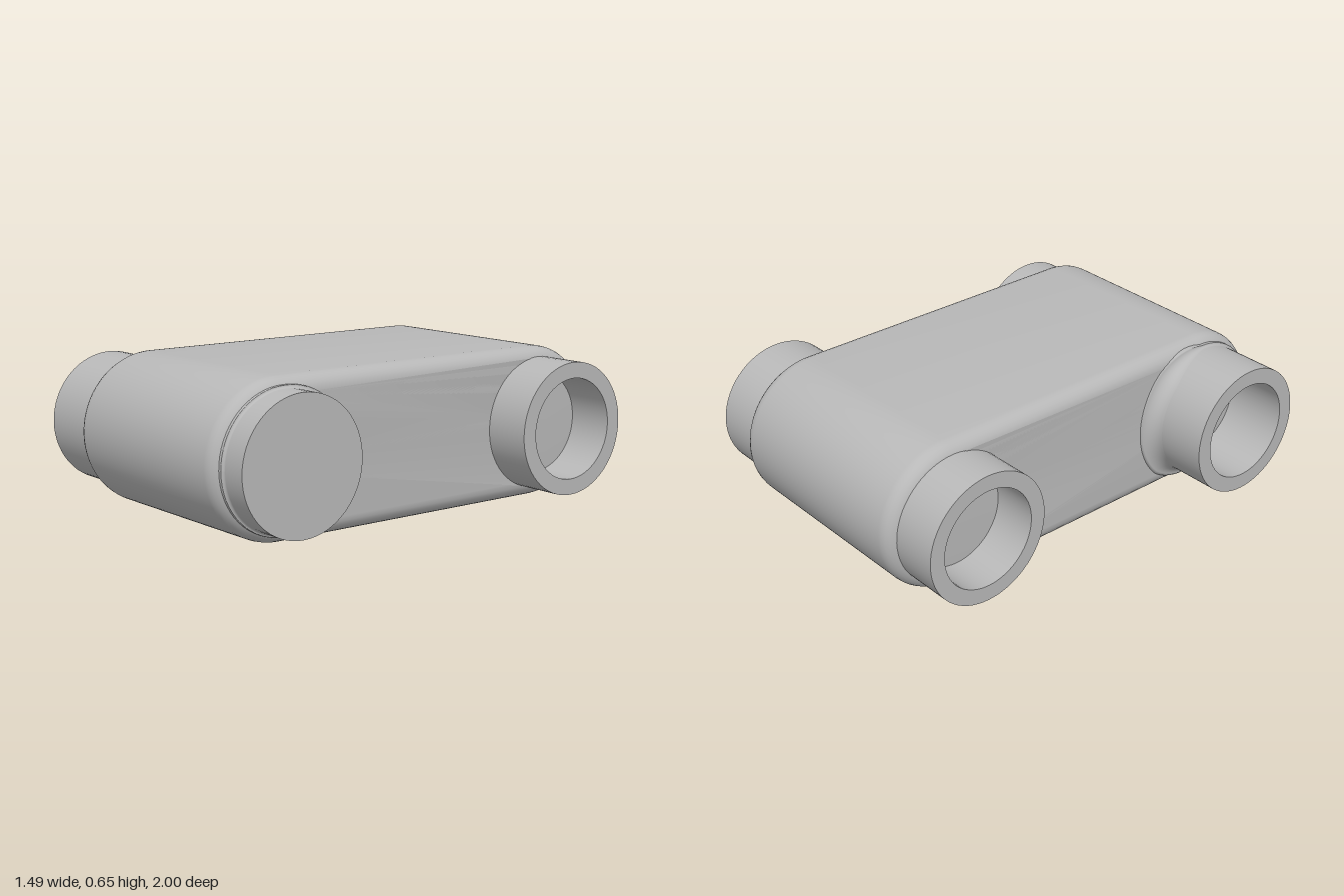
import * as THREE from 'three';
import { toCreasedNormals } from 'three/addons/utils/BufferGeometryUtils.js';

const CY = 0.325;            // height of both bore axes
const CZ = 0.675;            // distance of each axis from the centre
const BODY_R = 0.325;        // end radius of the body
const X0 = -0.465, X1 = 0.54; // side faces of the body
const EDGE = 0.068;          // rounding of the body edges
const BOSS_R = 0.283, BORE_R = 0.215;
const SEG = 64;

// Turned part along the x axis; points are [x, radius]
function turned(points) {
  const profile = points.map(([x, r]) => new THREE.Vector2(r, x));
  return new THREE.LatheGeometry(profile, SEG).rotateZ(-Math.PI / 2);
}

// Rounded link with clearance holes hidden inside the bosses
function bodyGeometry() {
  const shape = new THREE.Shape();
  shape.moveTo(-CZ, -BODY_R);
  shape.lineTo(CZ, -BODY_R);
  shape.absarc(CZ, 0, BODY_R, -Math.PI / 2, Math.PI / 2, false);
  shape.lineTo(-CZ, BODY_R);
  shape.absarc(-CZ, 0, BODY_R, Math.PI / 2, Math.PI * 1.5, false);
  for (const s of [-1, 1]) {
    const hole = new THREE.Path();
    hole.absarc(s * CZ, 0, 0.212, 0, Math.PI * 2, true);
    shape.holes.push(hole);
  }
  const geo = new THREE.ExtrudeGeometry(shape, {
    depth: X1 - X0 - 2 * EDGE, curveSegments: 32,
    bevelEnabled: true, bevelThickness: EDGE, bevelSize: EDGE,
    bevelOffset: -EDGE, bevelSegments: 6,
  });
  geo.translate(0, 0, X0 + EDGE).rotateY(Math.PI / 2);
  return toCreasedNormals(geo, 0.6);
}

// Blend between a front boss and a side face, widest towards the middle
function filletGeometry(face, side, size) {
  const pts = [];
  for (let i = 0; i <= 8; i++) {
    const a = (i / 8) * Math.PI / 2;
    pts.push([face + side * size * (1 - Math.sin(a)), BOSS_R + size * (1 - Math.cos(a))]);
  }
  pts.push([face - side * size, BOSS_R + size]);
  if (side > 0) pts.reverse();
  const geo = turned(pts);
  const p = geo.attributes.position;
  for (let i = 0; i < p.count; i++) {
    const y = p.getY(i), z = p.getZ(i), r = Math.hypot(y, z);
    const inner = Math.min(1, Math.max(0, -z / r) * 1.4);
    const k = 0.012 / size + (1 - 0.012 / size) * inner;
    const s = (BOSS_R + (r - BOSS_R) * k) / r;
    p.setXYZ(i, face + (p.getX(i) - face) * k, y * s, z * s);
  }
  geo.computeVertexNormals();
  return geo;
}

export function createModel() {
  const group = new THREE.Group();
  const steel = new THREE.MeshStandardMaterial({ color: 0xb8b8b8, side: THREE.DoubleSide });
  steel.name = 'grey steel';

  const add = (name, geo, z) => {
    const mesh = new THREE.Mesh(geo, steel);
    mesh.name = name;
    mesh.position.set(0, CY, z);
    group.add(mesh);
  };

  add('linkBody', bodyGeometry(), 0);

  // Rear sleeve, bored right through
  add('rearSleeve', toCreasedNormals(turned([
    [-0.665, BORE_R], [-0.665, BOSS_R], [0.745, BOSS_R], [0.745, BORE_R], [-0.665, BORE_R],
  ]), 0.6), -CZ);

  // Front sleeve, closed at its +x end
  add('frontSleeve', toCreasedNormals(turned([
    [-0.745, BORE_R], [-0.745, BOSS_R], [0.66, BOSS_R], [0.66, 0],
  ]), 0.6), CZ);
  add('frontBore', toCreasedNormals(turned([
    [0.54, 0], [0.54, BORE_R], [-0.745, BORE_R],
  ]), 0.6), CZ);

  add('frontFilletRight', filletGeometry(X0, -1, 0.065), CZ);
  add('frontFilletLeft', filletGeometry(X1, 1, 0.022), CZ);

  return group;
}
